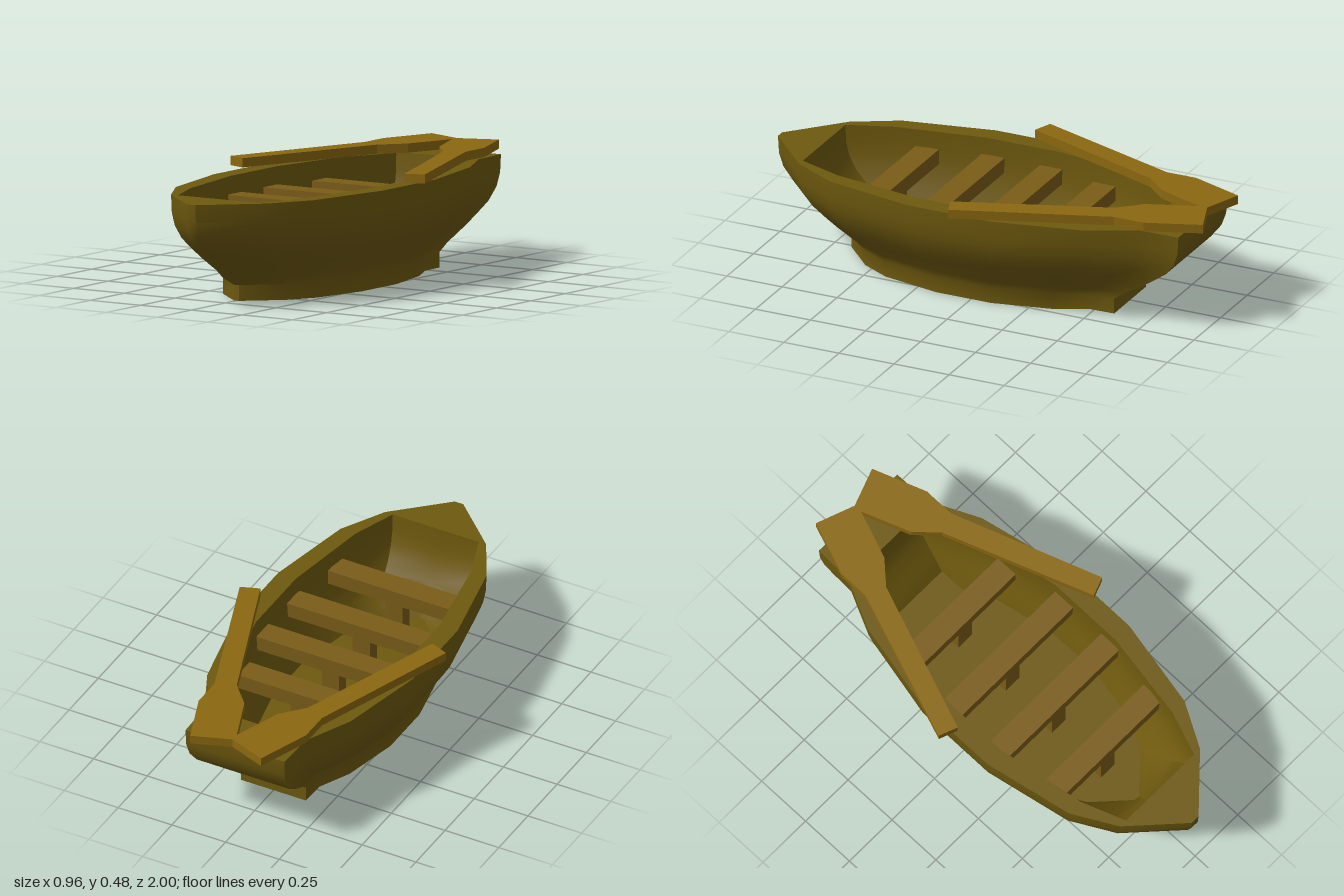
import * as THREE from 'three';
import { toCreasedNormals } from 'three/addons/utils/BufferGeometryUtils.js';

const hullMat = new THREE.MeshStandardMaterial({ color: 0x6e590e });
const benchMat = new THREE.MeshStandardMaterial({ color: 0x7a5c18 });
const oarMat = new THREE.MeshStandardMaterial({ color: 0x8b6810 });

const ZC = 0.04; // the hull tapers about this point on its length

// Half plans [x, z] from bow to stern: outer rim and inner rim
const outerPlan = [[0.02, 1], [0.235, 0.8], [0.34, 0.61], [0.418, 0.22],
  [0.418, -0.16], [0.335, -0.54], [0.235, -0.75], [0.23, -0.92]];
const innerPlan = [[0.002, 0.8], [0.2, 0.8], [0.27, 0.61], [0.335, 0.22],
  [0.335, -0.12], [0.27, -0.46], [0.175, -0.66], [0.165, -0.74]];

// Side profile [scale, y] from the foot up to the rim
const profile = [[0.656, 0], [0.656, 0.065], [0.7, 0.1], [0.8, 0.16],
  [0.86, 0.2], [0.93, 0.25], [0.975, 0.305], [0.995, 0.36], [1, 0.435]];

const scaled = (plan, s) => plan.map(([x, z]) => [x * s, ZC + (z - ZC) * s]);
const blend = (a, b, t) => a.map(([x, z], i) => [x + (b[i][0] - x) * t, z + (b[i][1] - z) * t]);

// Full ring of points, counterclockwise from above
function ring(plan, y) {
  const half = plan.map(([x, z]) => [x, y, z]);
  return [...half, ...half.map(([x, , z]) => [-x, y, z]).reverse()];
}

function hullGeometry() {
  const floorPlan = scaled(outerPlan, 0.656);
  const rings = [ring(scaled(outerPlan, 0), 0)];
  for (const [s, y] of profile) rings.push(ring(scaled(outerPlan, s), y));
  // Inner wall repeats the side profile downwards to the floor
  for (const [s, y] of profile.slice(1).reverse()) {
    rings.push(ring(blend(floorPlan, innerPlan, (s - 0.656) / 0.344), y));
  }
  rings.push(ring(scaled(outerPlan, 0), 0.065));

  const n = rings[0].length, last = rings.length - 2, index = [];
  for (let i = 0; i <= last; i++) {
    for (let j = 0; j < n; j++) {
      const k = (j + 1) % n;
      const a = i * n + j, b = i * n + k, c = a + n, d = b + n;
      if (i > 0) index.push(a, b, d);
      if (i < last) index.push(a, d, c);
      if (i === 0) index.splice(-3, 3, a, d, c);
    }
  }
  const geo = new THREE.BufferGeometry();
  geo.setAttribute('position', new THREE.Float32BufferAttribute(rings.flat(2), 3));
  geo.setIndex(index);
  return toCreasedNormals(geo, 0.72);
}

// Flat oar outline [x, z] on the model's right side, handle to blade and back
const oarPlan = [[-0.48, 0.005], [-0.25, -0.635], [-0.25, -0.77], [-0.165, -1],
  [0.012, -0.935], [-0.078, -0.695], [-0.165, -0.6], [-0.4, -0.025 + 0.06]];

function oarGeometry(side) {
  const shape = new THREE.Shape(oarPlan.map(([x, z]) => new THREE.Vector2(x * side, -z)));
  return new THREE.ExtrudeGeometry(shape, { depth: 0.038, bevelEnabled: false })
    .rotateX(-Math.PI / 2).translate(0, 0.443, 0);
}

export function createModel() {
  const group = new THREE.Group();
  const add = (name, geo, mat) => {
    const mesh = new THREE.Mesh(geo, mat);
    mesh.name = name;
    group.add(mesh);
    return mesh;
  };

  add('hull', hullGeometry(), hullMat);

  // Cross benches [z, half width], each on a central post
  [[0.472, 0.295], [0.193, 0.335], [-0.07, 0.335], [-0.34, 0.275]].forEach(([z, w], i) => {
    add('bench' + (i + 1), new THREE.BoxGeometry(w * 2, 0.065, 0.102), benchMat)
      .position.set(0, 0.3275, z);
    add('benchPost' + (i + 1), new THREE.BoxGeometry(0.08, 0.235, 0.06), benchMat)
      .position.set(0, 0.18, z);
  });

  // Oars resting along the rim with blades meeting over the stern
  add('rightOar', oarGeometry(1), oarMat);
  add('leftOar', oarGeometry(-1), oarMat);
  return group;
}
